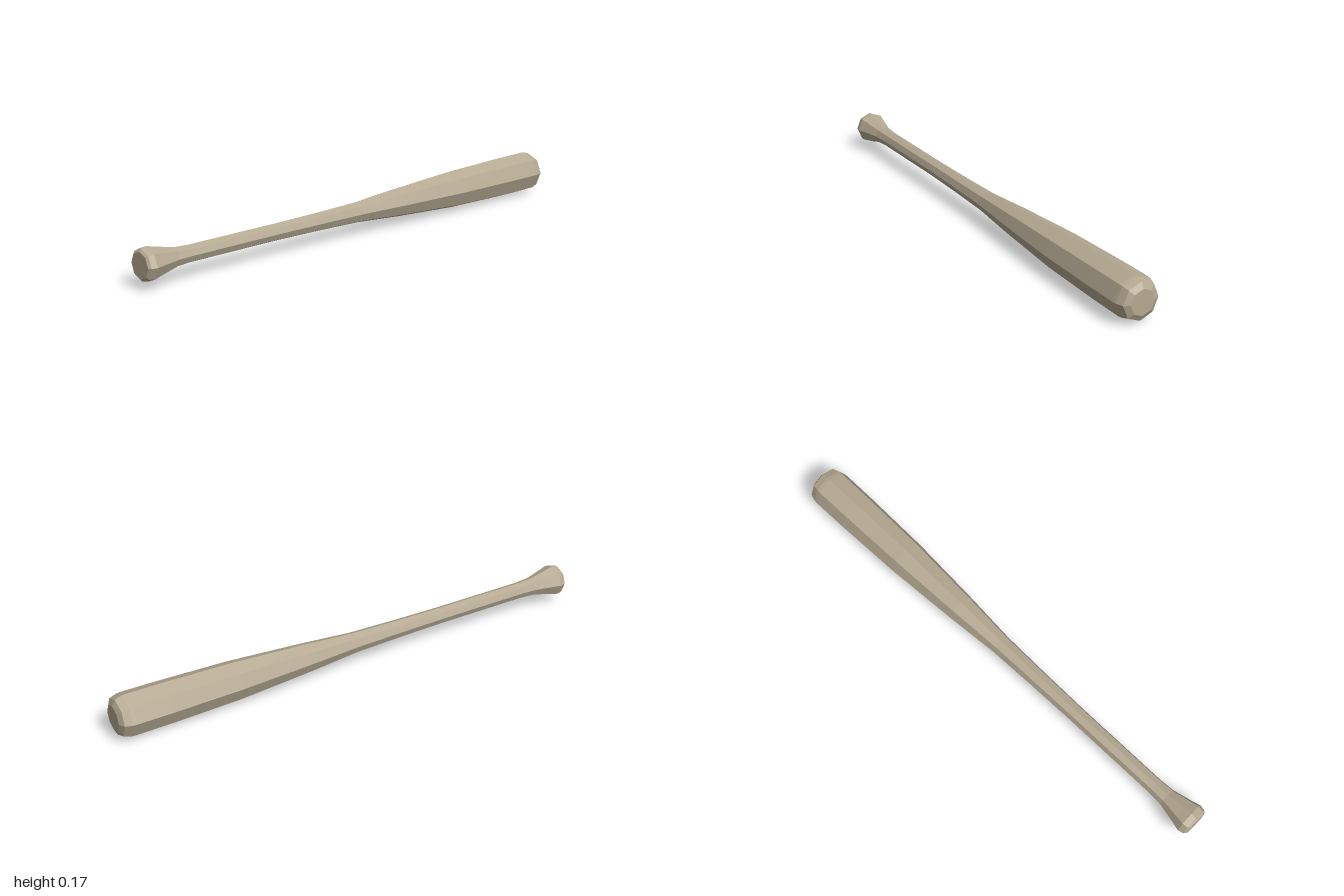
import * as THREE from 'three';

export function createModel() {
  const group = new THREE.Group();
  group.name = 'bat';

  // Radius along the length, from knob end to barrel tip: [radius, position]
  const profile = [
    [0, -1], [0.05, -1], [0.059, -0.992], [0.064, -0.97], [0.056, -0.94], [0.037, -0.86],
    [0.033, -0.8], [0.033, -0.4], [0.036, -0.2], [0.041, 0],
    [0.058, 0.22], [0.076, 0.52], [0.0825, 0.8], [0.0835, 0.945],
    [0.082, 0.96], [0.073, 0.988], [0.05, 1], [0, 1],
  ].map(([r, x]) => new THREE.Vector2(r, x));

  // Eight-sided turned body, laid along x
  const turned = new THREE.LatheGeometry(profile, 8);
  turned.rotateZ(-Math.PI / 2);
  turned.translate(0, 0.0845, 0);

  // The slim handle sits a touch higher and further back than the barrel
  const pos = turned.attributes.position;
  for (let i = 0; i < pos.count; i++) {
    const t = THREE.MathUtils.clamp((0.5 - pos.getX(i)) / 1, 0, 1);
    pos.setY(i, pos.getY(i) + 0.004 * t);
    pos.setZ(i, pos.getZ(i) - 0.003 * t);
  }
  turned.computeVertexNormals();

  const material = new THREE.MeshStandardMaterial({ color: 0xb5a992, flatShading: true });
  const body = new THREE.Mesh(turned, material);
  body.name = 'batBody';
  group.add(body);
  return group;
}
